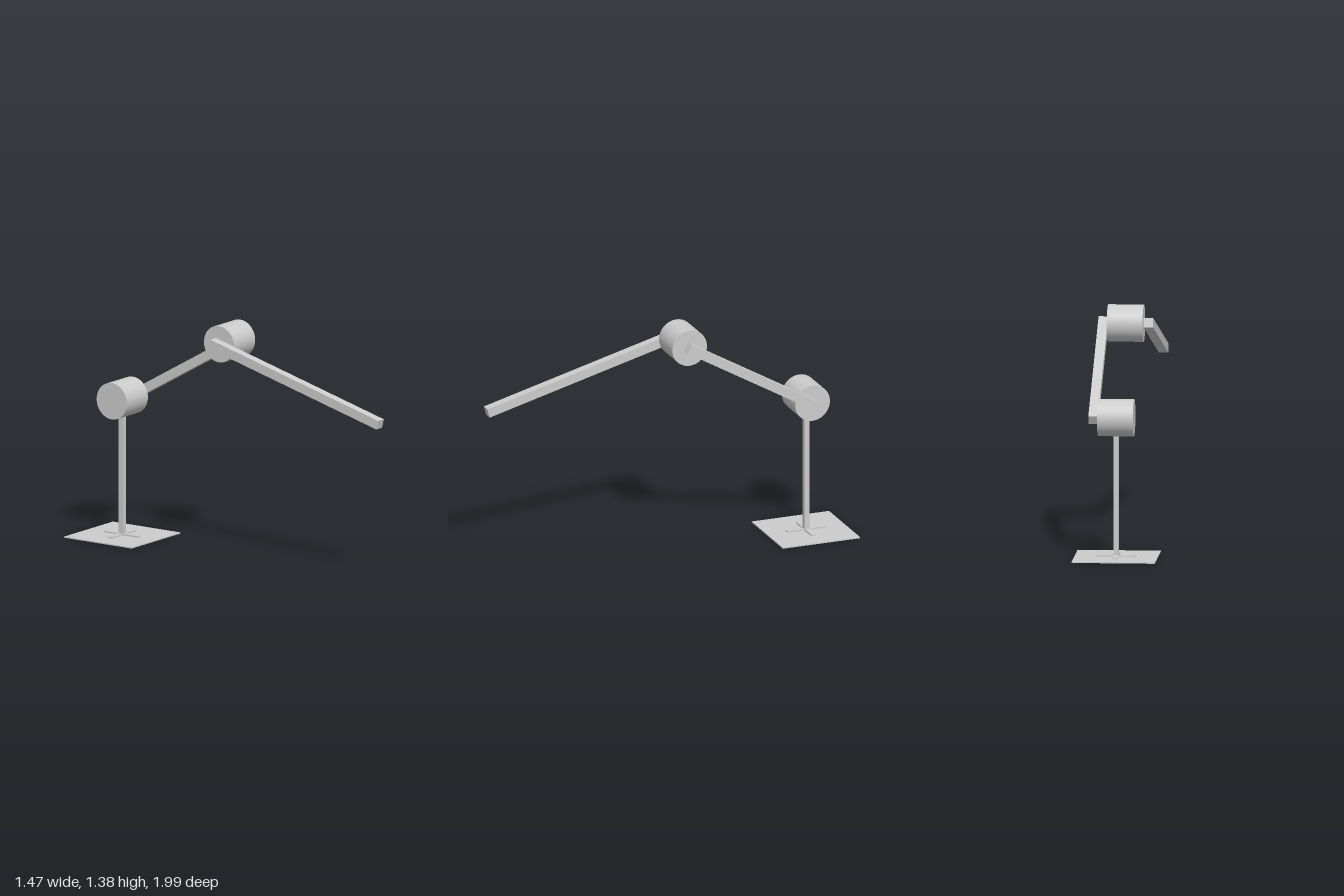
import * as THREE from 'three';

export function createModel() {
  const model = new THREE.Group();
  model.name = 'jointedArm';
  const grey = new THREE.MeshStandardMaterial({ color: 0xcccccc });
  grey.name = 'light grey';

  // The whole arm is turned about its post; locally +z is the reach, x the joint axis
  const arm = new THREE.Group();
  arm.name = 'arm';
  arm.position.set(-0.395, 0, -0.657);
  arm.rotation.y = THREE.MathUtils.degToRad(38);
  model.add(arm);

  const add = (name, geometry, x, y, z, parent = arm) => {
    const mesh = new THREE.Mesh(geometry, grey);
    mesh.name = name;
    mesh.position.set(x, y, z);
    parent.add(mesh);
    return mesh;
  };
  const box = (w, h, d) => new THREE.BoxGeometry(w, h, d);

  // Base plate, crossed feet and post
  add('basePlate', box(0.487, 0.007, 0.487), 0, 0.0035, 0);
  add('crossFoot', box(0.243, 0.008, 0.03), 0, 0.011, 0);
  for (const s of [-1, 1]) add('sideFoot', box(0.03, 0.008, 0.1065), 0, 0.011, s * 0.06825);
  add('post', box(0.03, 0.75, 0.03), 0, 0.382, 0);

  // Joint drums, axis across the arm
  const drum = new THREE.CylinderGeometry(0.109, 0.109, 0.21, 48).rotateZ(Math.PI / 2);
  const low = [0.825, 0];
  const high = [1.271, 0.774];
  add('lowerJoint', drum, 0, ...low);
  add('upperJoint', drum, 0, ...high);

  // Bars pivot at a joint and run along local z, slightly past the pivot
  const addBar = (name, x, [y, z], degrees, from, to) => {
    const pivot = new THREE.Group();
    pivot.name = name + 'Pivot';
    pivot.position.set(x, y, z);
    pivot.rotation.x = THREE.MathUtils.degToRad(degrees);
    arm.add(pivot);
    add(name, box(0.056, 0.055, to - from), 0, 0, (from + to) / 2, pivot);
  };
  addBar('upperArm', 0.133, low, -30, -0.026, 0.919);
  addBar('forearm', -0.133, high, 15, -0.03, 1.224);

  return model;
}
